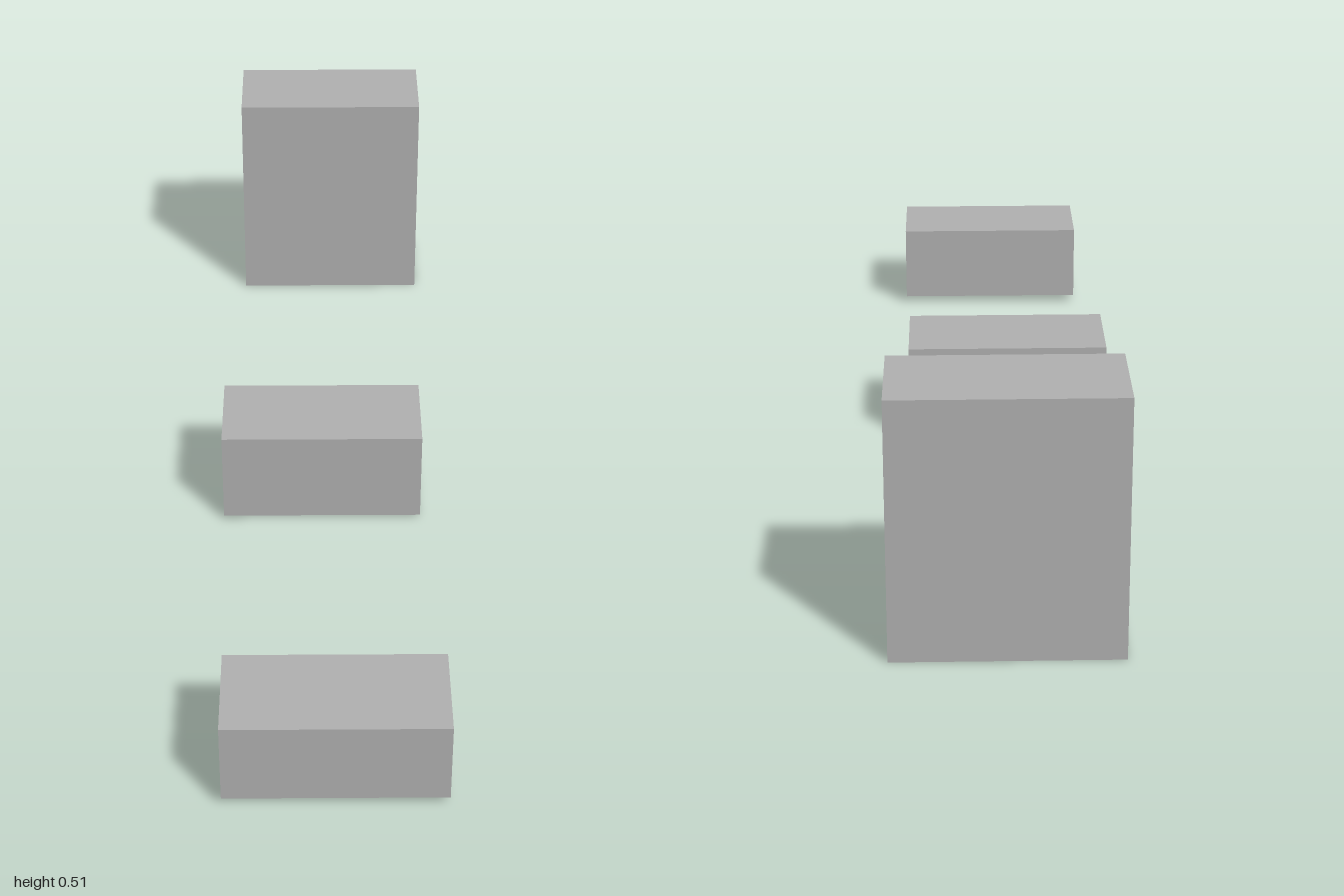
import * as THREE from 'three';

// Box shell standing on minY, with no bottom face
function openBox(name, material, [minX, maxX], [minY, maxY], [minZ, maxZ]) {
  const geometry = new THREE.BoxGeometry(maxX - minX, maxY - minY, maxZ - minZ);
  const index = Array.from(geometry.index.array);
  index.splice(18, 6); // the face pointing down
  geometry.setIndex(index);
  geometry.clearGroups();
  const mesh = new THREE.Mesh(geometry, material);
  mesh.name = name;
  mesh.position.set((minX + maxX) / 2, (minY + maxY) / 2, (minZ + maxZ) / 2);
  return mesh;
}

export function createModel() {
  const model = new THREE.Group();
  model.name = 'openBottomBlocks';
  const grey = new THREE.MeshStandardMaterial({ color: 0xb2b2b2, side: THREE.DoubleSide });
  grey.name = 'grey';

  // Three separate blocks in a row, the tallest at the back
  model.add(
    openBox('frontBlock', grey, [-0.206, 0.222], [0.017, 0.193], [0.8, 1]),
    openBox('middleBlock', grey, [-0.228, 0.201], [0.009, 0.216], [-0.05, 0.15]),
    openBox('tallBackBlock', grey, [-0.203, 0.227], [0, 0.51], [-1, -0.8]),
  );
  return model;
}
